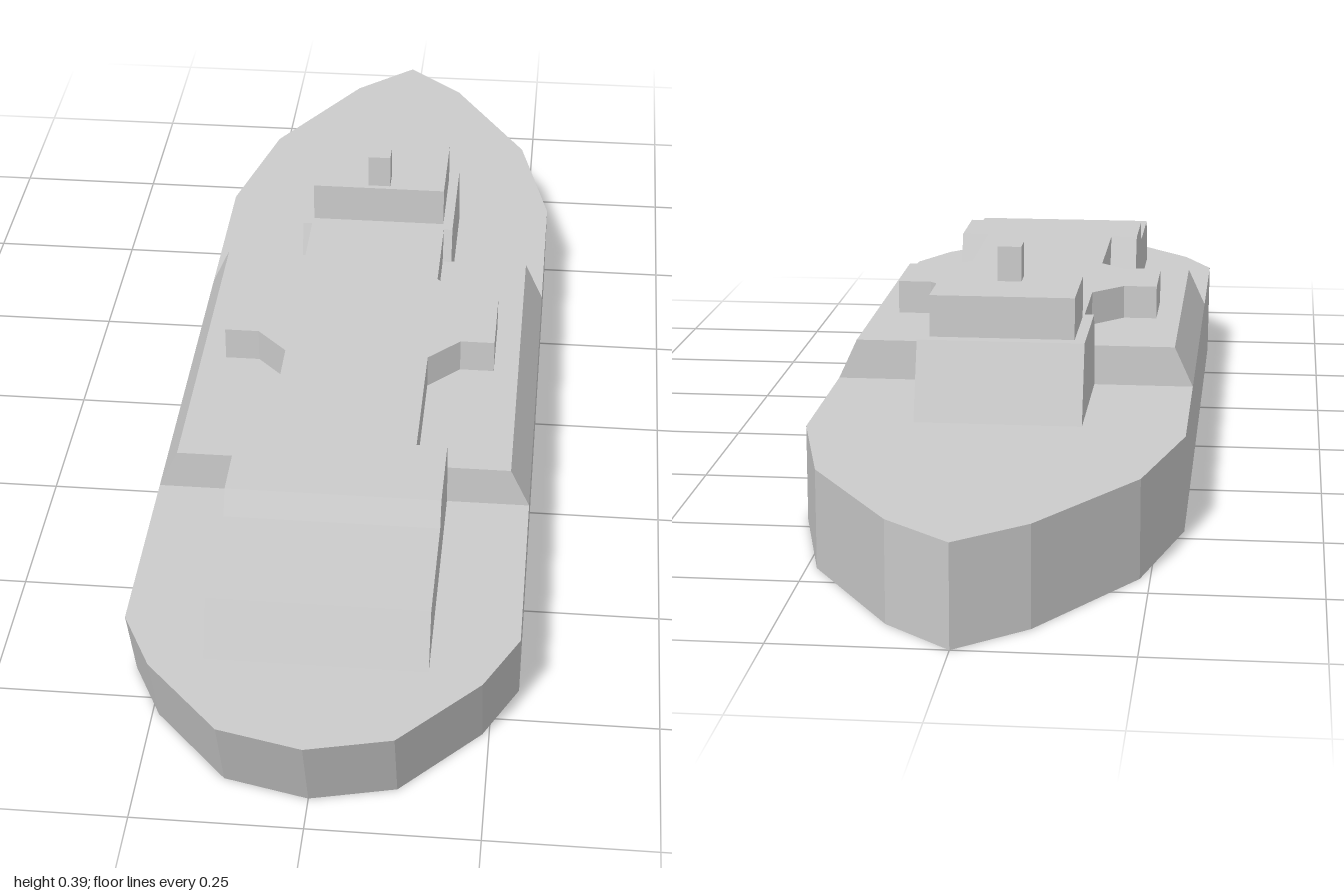
import * as THREE from 'three';

const material = new THREE.MeshStandardMaterial({ color: 0xcccccc, flatShading: true });
const DECK = 0.15, MID = 0.215, ROOF = 0.27;

function extrude(points, depth) {
  const shape = new THREE.Shape(points.map(([x, y]) => new THREE.Vector2(x, y)));
  return new THREE.ExtrudeGeometry(shape, { depth, bevelEnabled: false });
}

// Symmetric plan outline, given as [x, z] down the +x side, raised from y0 to y1
function planPrism(half, y0, y1) {
  const right = half.map(([x, z]) => [x, -z]);
  const left = right.filter(([x]) => x > 0).reverse().map(([x, y]) => [-x, y]);
  return extrude([...right, ...left], y1 - y0).rotateX(-Math.PI / 2).translate(0, y0, 0);
}

// Side profile, given as [z, y], extruded across the ship
function sidePrism(profile, halfWidth) {
  return extrude(profile, halfWidth * 2).rotateY(-Math.PI / 2).translate(halfWidth, 0, 0);
}

function box(halfWidth, y0, y1, z0, z1) {
  return new THREE.BoxGeometry(halfWidth * 2, y1 - y0, z1 - z0)
    .translate(0, (y0 + y1) / 2, (z0 + z1) / 2);
}

export function createModel() {
  const group = new THREE.Group();
  const add = (name, geometry) => {
    const mesh = new THREE.Mesh(geometry, material);
    mesh.name = name;
    group.add(mesh);
  };

  // Hull: pointed at one end, rounded and undercut at the other
  const hull = planPrism([
    [0, -1], [0.1, -0.91], [0.235, -0.69], [0.29, -0.465],
    [0.29, 0.745], [0.24, 0.845], [0.125, 0.97], [0, 1],
  ], 0, DECK);
  const p = hull.attributes.position;
  for (let i = 0; i < p.count; i++) {
    if (p.getY(i) < 0.01 && p.getZ(i) > 0.6) p.setZ(i, p.getZ(i) - 0.06);
  }
  hull.computeVertexNormals();
  add('hull', hull);

  // Midship deck with sloping sides
  add('midshipDeck', extrude([[-0.29, DECK], [0.29, DECK], [0.26, MID], [-0.26, MID]], 0.597)
    .translate(0, 0, -0.172));

  // Stepped house at the front
  add('frontHouse', sidePrism([
    [0.825, DECK], [0.79, 0.233], [0.6, 0.233], [0.58, ROOF],
    [0.445, ROOF], [0.422, MID], [0.422, DECK],
  ], 0.162));

  // Central cabin with bevelled shoulders and side wings
  add('centralCabin', planPrism([
    [0.115, -0.187], [0.115, -0.027], [0.165, 0.028], [0.22, 0.028],
    [0.22, 0.157], [0.165, 0.157], [0.115, 0.208], [0.115, 0.445],
  ], 0.2, ROOF));

  // Sloping house at the back
  add('rearHouse', sidePrism([
    [-0.17, DECK], [-0.17, MID], [-0.187, ROOF], [-0.383, ROOF], [-0.428, DECK],
  ], 0.13));

  add('bridge', box(0.113, ROOF, 0.336, -0.362, -0.205));
  add('mast', box(0.019, 0.336, 0.392, -0.252, -0.214));

  return group;
}
